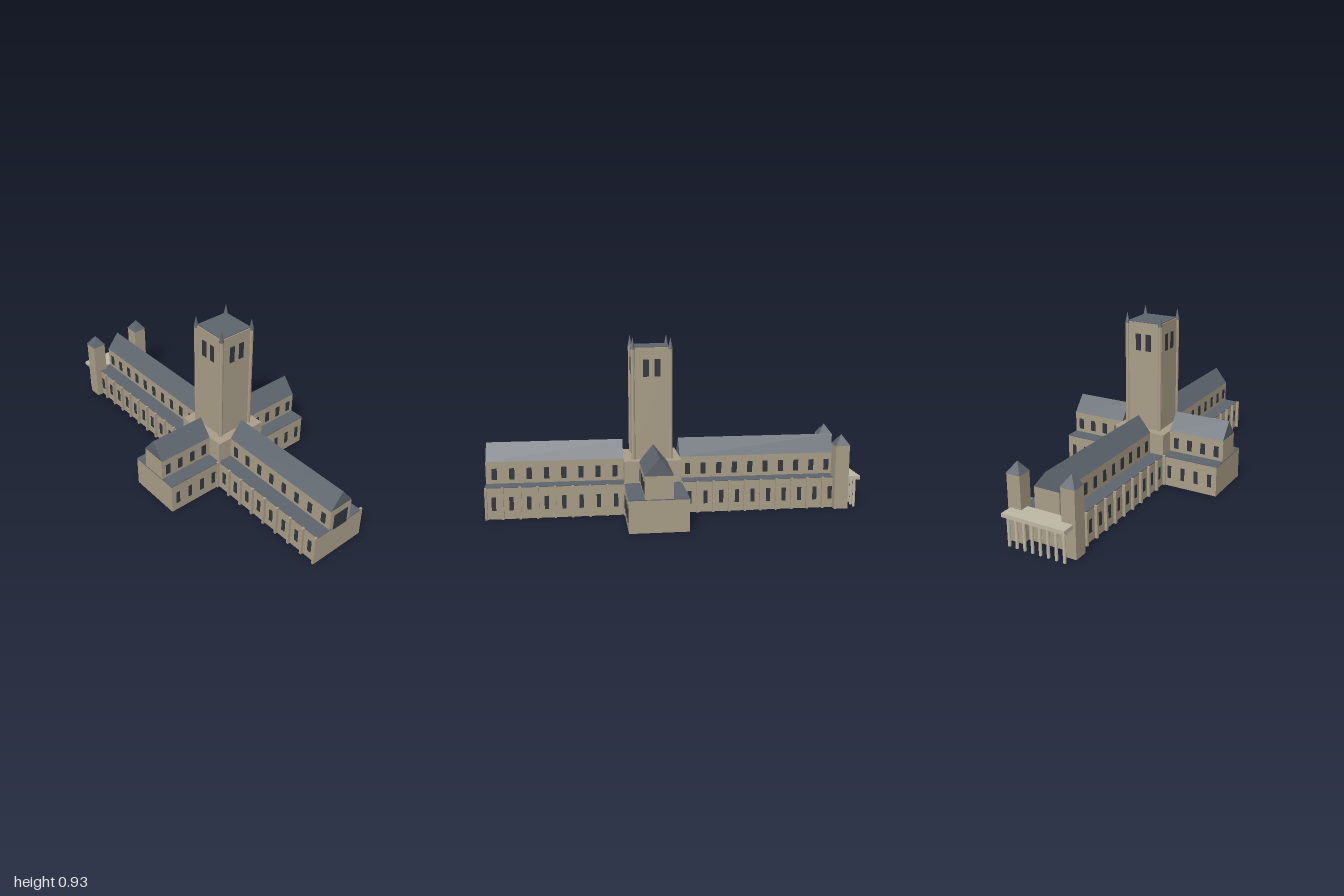
import * as THREE from 'three';

const mat = (color) => new THREE.MeshStandardMaterial({ color, flatShading: true });
const stone = mat(0xa89d87), paleStone = mat(0xbdb6a3), slate = mat(0x5d646c), glass = mat(0x32373e);

const HALF = 0.15;      // half width of the aisles and crossing
const INNER = 0.07;     // half width of the upper walls
const AISLE = 0.165, EAVES = 0.285, RIDGE = 0.375;

function add(parent, name, geometry, material, x = 0, y = 0, z = 0) {
  const mesh = new THREE.Mesh(geometry, material);
  mesh.name = name;
  mesh.position.set(x, y, z);
  parent.add(mesh);
  return mesh;
}

// Box given by its x, y and z ranges
function block(parent, name, material, [x0, x1], [y0, y1], [z0, z1]) {
  return add(parent, name, new THREE.BoxGeometry(x1 - x0, y1 - y0, z1 - z0), material,
    (x0 + x1) / 2, (y0 + y1) / 2, (z0 + z1) / 2);
}

// Gabled roof running along x
function gableRoof(parent, x0, x1, half) {
  const s = new THREE.Shape([
    new THREE.Vector2(-half, EAVES), new THREE.Vector2(half, EAVES), new THREE.Vector2(0, RIDGE),
  ]);
  const g = new THREE.ExtrudeGeometry(s, { depth: x1 - x0, bevelEnabled: false });
  g.rotateY(Math.PI / 2);
  add(parent, 'gableRoof', g, slate, x0);
}

// One arm of the cross, running outward along +x from the crossing
function arm(name, length, bays, angle, buttressed, endWindow) {
  const g = new THREE.Group();
  g.name = name;
  g.rotation.y = angle;
  block(g, 'aisleWalls', stone, [HALF, length], [0, AISLE], [-HALF, HALF]);
  block(g, 'aisleRoof', slate, [HALF, length], [AISLE, AISLE + 0.004], [-HALF, HALF]);
  block(g, 'upperWalls', stone, [HALF, length - 0.001], [AISLE, EAVES], [-INNER, INNER]);
  gableRoof(g, HALF, length - 0.002, INNER + 0.002);

  const step = (length - HALF) / bays;
  for (const side of [-1, 1]) {
    for (let i = 0; i < bays; i++) {
      const x = HALF + (i + 0.5) * step;
      add(g, 'aisleWindow', new THREE.BoxGeometry(0.022, 0.07, 0.006), glass, x, 0.082, side * HALF);
      add(g, 'upperWindow', new THREE.BoxGeometry(0.027, 0.06, 0.006), glass, x, 0.219, side * INNER);
    }
    if (!buttressed) continue;
    for (let i = 0; i <= bays; i++) {
      const x = Math.min(HALF + i * step, length - 0.006);
      add(g, 'buttress', new THREE.BoxGeometry(0.012, 0.17, 0.016), stone, x, 0.085, side * (HALF + 0.007));
    }
  }
  if (endWindow) {
    block(g, 'endWindow', glass, [length - 0.004, length + 0.003], [0.16, 0.25], [-0.045, 0.045]);
  }
  return g;
}

// Pyramid with its sides square to the axes
function pyramid(width, height) {
  const g = new THREE.ConeGeometry(width * Math.SQRT1_2, height, 4);
  g.rotateY(Math.PI / 4);
  return g;
}

function crossingTower() {
  const g = new THREE.Group();
  g.name = 'crossingTower';
  block(g, 'crossing', stone, [-HALF, HALF], [0, EAVES], [-HALF, HALF]);
  block(g, 'towerShaft', stone, [-0.1, 0.1], [EAVES, 0.872], [-0.1, 0.1]);
  block(g, 'towerRoof', slate, [-0.095, 0.095], [0.87, 0.876], [-0.095, 0.095]);
  for (const sx of [-1, 1]) {
    for (const sz of [-1, 1]) {
      const x = sx * 0.098, z = sz * 0.098;
      add(g, 'turret', new THREE.CylinderGeometry(0.011, 0.011, 0.58, 8), stone, x, 0.575, z);
      add(g, 'spirelet', new THREE.ConeGeometry(0.013, 0.063, 8), slate, x, 0.8935, z);
    }
  }
  // Paired belfry openings on each face
  for (let i = 0; i < 4; i++) {
    const face = new THREE.Group();
    face.name = 'belfryFace';
    face.rotation.y = i * Math.PI / 2;
    for (const s of [-1, 1]) {
      add(face, 'belfryWindow', new THREE.BoxGeometry(0.03, 0.09, 0.006), glass, s * 0.03, 0.766, 0.1);
    }
    g.add(face);
  }
  return g;
}

function westFront() {
  const g = new THREE.Group();
  g.name = 'westFront';
  for (const s of [-1, 1]) {
    add(g, 'westTower', new THREE.BoxGeometry(0.075, 0.345, 0.075), stone, -1.01, 0.1725, s * HALF);
    add(g, 'westTowerRoof', pyramid(0.08, 0.057), slate, -1.01, 0.3735, s * HALF);
  }
  block(g, 'porchRoof', paleStone, [-1.116, -0.999], [0.155, 0.175], [-0.175, 0.175]);
  const columns = 8;
  for (let i = 0; i < columns; i++) {
    const z = -0.155 + 0.31 * i / (columns - 1);
    add(g, 'porchColumn', new THREE.CylinderGeometry(0.008, 0.008, 0.156, 8), paleStone, -1.092, 0.078, z);
  }
  return g;
}

export function createModel() {
  const church = new THREE.Group();
  church.name = 'church';
  church.position.x = 0.125;
  church.rotation.y = -0.054;
  church.add(
    crossingTower(),
    arm('choir', 0.866, 8, 0, true, true),
    arm('nave', 1.0, 10, Math.PI, true, false),
    arm('southTransept', 0.465, 4, -Math.PI / 2, false, false),
    arm('northTransept', 0.465, 4, Math.PI / 2, false, false),
    westFront(),
  );
  const model = new THREE.Group();
  model.add(church);
  return model;
}
